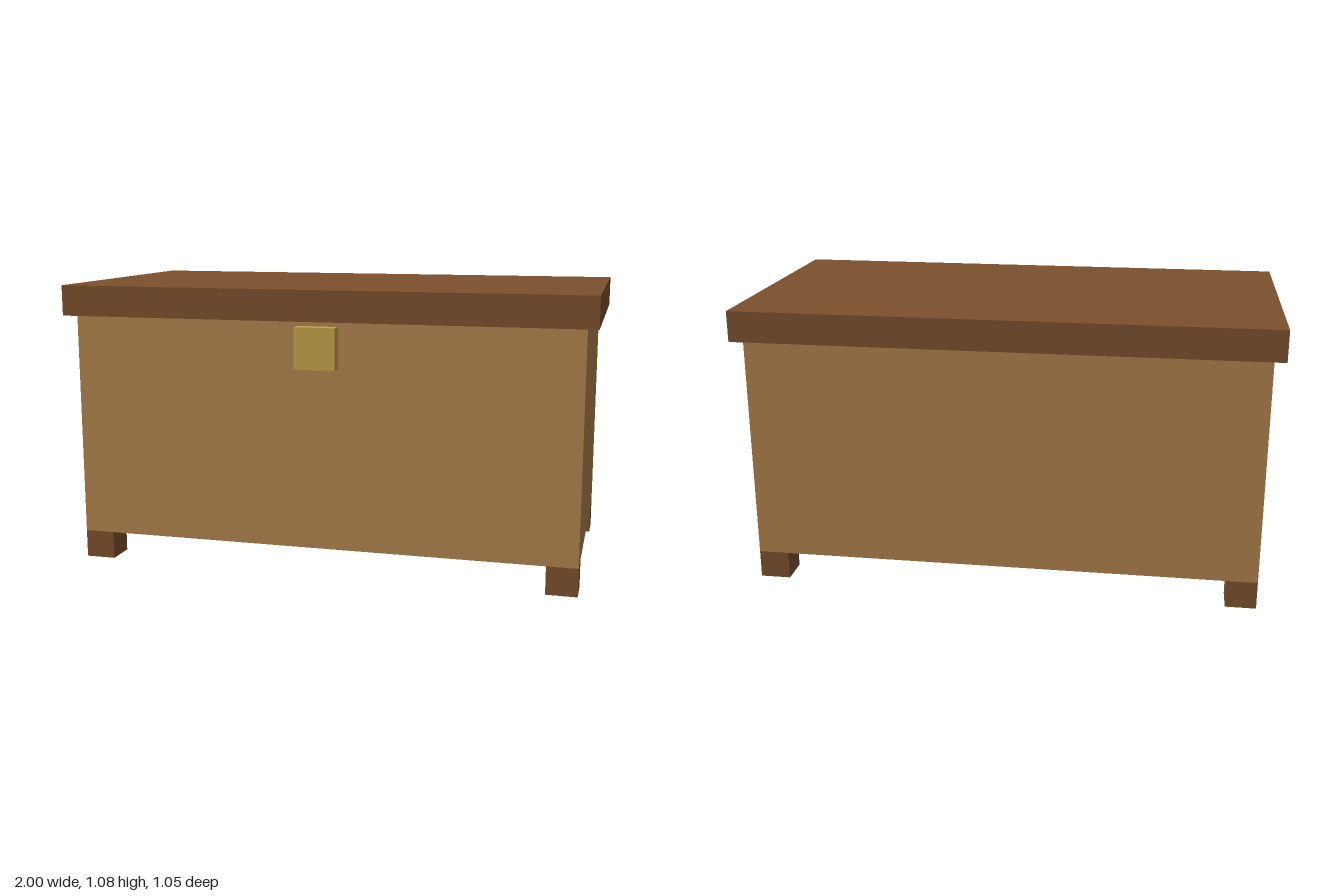
import * as THREE from 'three';

export function createModel() {
  const chest = new THREE.Group();
  chest.name = 'chest';

  const material = (name, color) => {
    const m = new THREE.MeshStandardMaterial({ color });
    m.name = name;
    return m;
  };
  const lightWood = material('light wood', 0xb0824d);
  const darkWood = material('dark wood', 0x7c502d);
  const brass = material('brass', 0xc4a24a);

  // Box placed by its centre in x and z and by its bottom in y
  const addBox = (name, mat, [w, h, d], [x, bottom, z]) => {
    const mesh = new THREE.Mesh(new THREE.BoxGeometry(w, h, d), mat);
    mesh.name = name;
    mesh.position.set(x, bottom + h / 2, z);
    chest.add(mesh);
  };

  const zMid = -0.004; // the clasp shifts the box slightly back
  const width = 1.92, depth = 0.962, foot = 0.115, footHeight = 0.106;
  const bodyTop = 0.962;

  // Body and overhanging lid
  addBox('body', lightWood, [width, bodyTop - footHeight, depth], [0, footHeight, zMid]);
  addBox('lid', darkWood, [2, 0.115, 1.039], [0, bodyTop, zMid]);

  // Clasp on the front, just under the lid
  addBox('clasp', brass, [0.154, 0.154, 0.058], [0, 0.789, 0.496]);

  // Feet flush with the body corners
  for (const [side, sx] of [['Left', 1], ['Right', -1]]) {
    for (const [end, sz] of [['front', 1], ['back', -1]]) {
      addBox(`${end}${side}Foot`, darkWood, [foot, footHeight, foot],
        [sx * (width - foot) / 2, 0, zMid + sz * (depth - foot) / 2]);
    }
  }

  return chest;
}
